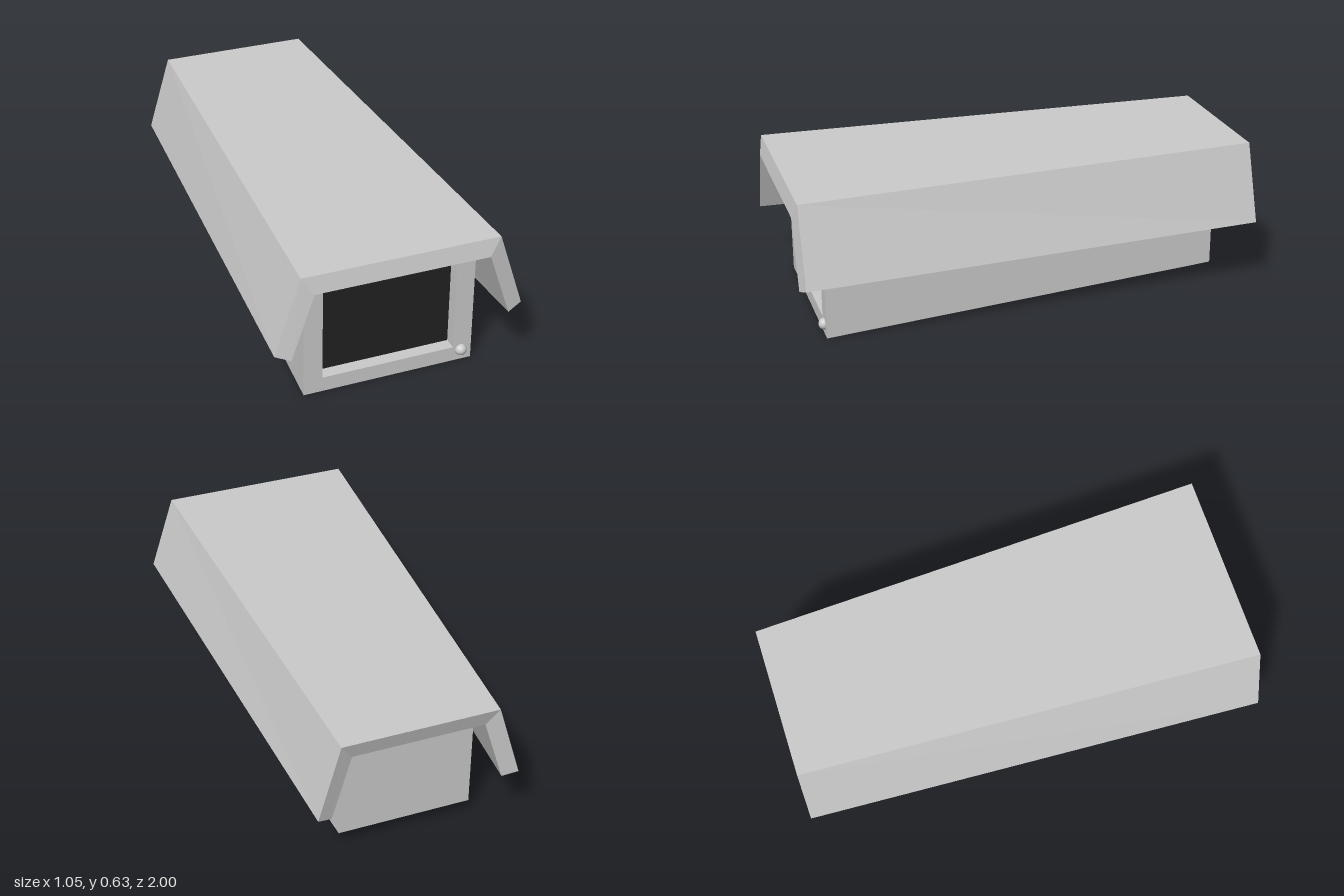
import * as THREE from 'three';

const grey = () => new THREE.MeshStandardMaterial({ color: 0xcccccc, flatShading: true });

// Flat-shaded geometry from a list of four-cornered faces
function fromQuads(quads) {
  const pos = quads.flatMap(([a, b, c, d]) => [a, b, c, a, c, d].flat());
  const geo = new THREE.BufferGeometry();
  geo.setAttribute('position', new THREE.Float32BufferAttribute(pos, 3));
  geo.computeVertexNormals();
  return geo;
}

// Faces joining consecutive closed rings of points
function skin(rings) {
  const quads = [];
  for (let r = 0; r + 1 < rings.length; r++) {
    const a = rings[r], b = rings[r + 1], n = a.length;
    for (let i = 0; i < n; i++) {
      const j = (i + 1) % n;
      quads.push([a[i], a[j], b[j], b[i]]);
    }
  }
  return quads;
}

const rect = (w, y0, y1, z) => [[-w, y0, z], [w, y0, z], [w, y1, z], [-w, y1, z]];

// Mirrors the right half of the hood section: outer and inner bottom/top corners
function hoodSection(ob, ot, it, ib) {
  const flip = ([x, y, z]) => [-x, y, z];
  return [ob, ot, flip(ot), flip(ob), flip(ib), flip(it), it, ib];
}

function addMesh(group, name, geometry, material) {
  const mesh = new THREE.Mesh(geometry, material);
  mesh.name = name;
  group.add(mesh);
  return mesh;
}

export function createModel() {
  const group = new THREE.Group();
  group.name = 'cameraHousing';

  // Tapered body with a recessed window opening in the front
  const back = rect(0.285, 0.07, 0.553, -0.855);
  const bodyQuads = skin([
    back,
    rect(0.365, 0, 0.552, 0.88),
    rect(0.285, 0.065, 0.5, 0.88),
    rect(0.285, 0.065, 0.5, 0.825),
  ]);
  bodyQuads.push([...back].reverse());
  addMesh(group, 'body', fromQuads(bodyQuads), grey());

  // Dark window at the bottom of the recess
  addMesh(group, 'window', fromQuads([rect(0.285, 0.065, 0.5, 0.825)]),
    new THREE.MeshStandardMaterial({ color: 0x222222 }));

  // Sloped hood, narrowing towards the back
  const hoodBack = hoodSection([0.425, 0.298, -1], [0.328, 0.63, -0.993], [0.277, 0.555, -0.972], [0.362, 0.274, -0.978]);
  const hoodFront = hoodSection([0.523, 0.296, 0.983], [0.415, 0.624, 0.983], [0.366, 0.551, 1], [0.46, 0.272, 1]);
  const hoodQuads = skin([hoodBack, hoodFront]);
  for (let i = 0; i < 3; i++) {
    const ids = [i, i + 1, 6 - i, 7 - i];
    hoodQuads.push(ids.map(k => hoodFront[k]), ids.map(k => hoodBack[k]).reverse());
  }
  addMesh(group, 'hood', fromQuads(hoodQuads), grey());

  // Round knob at the lower corner of the front
  const knob = addMesh(group, 'knob', new THREE.SphereGeometry(0.025, 32, 20),
    new THREE.MeshStandardMaterial({ color: 0xcccccc }));
  knob.position.set(0.32, 0.047, 0.88);

  return group;
}
